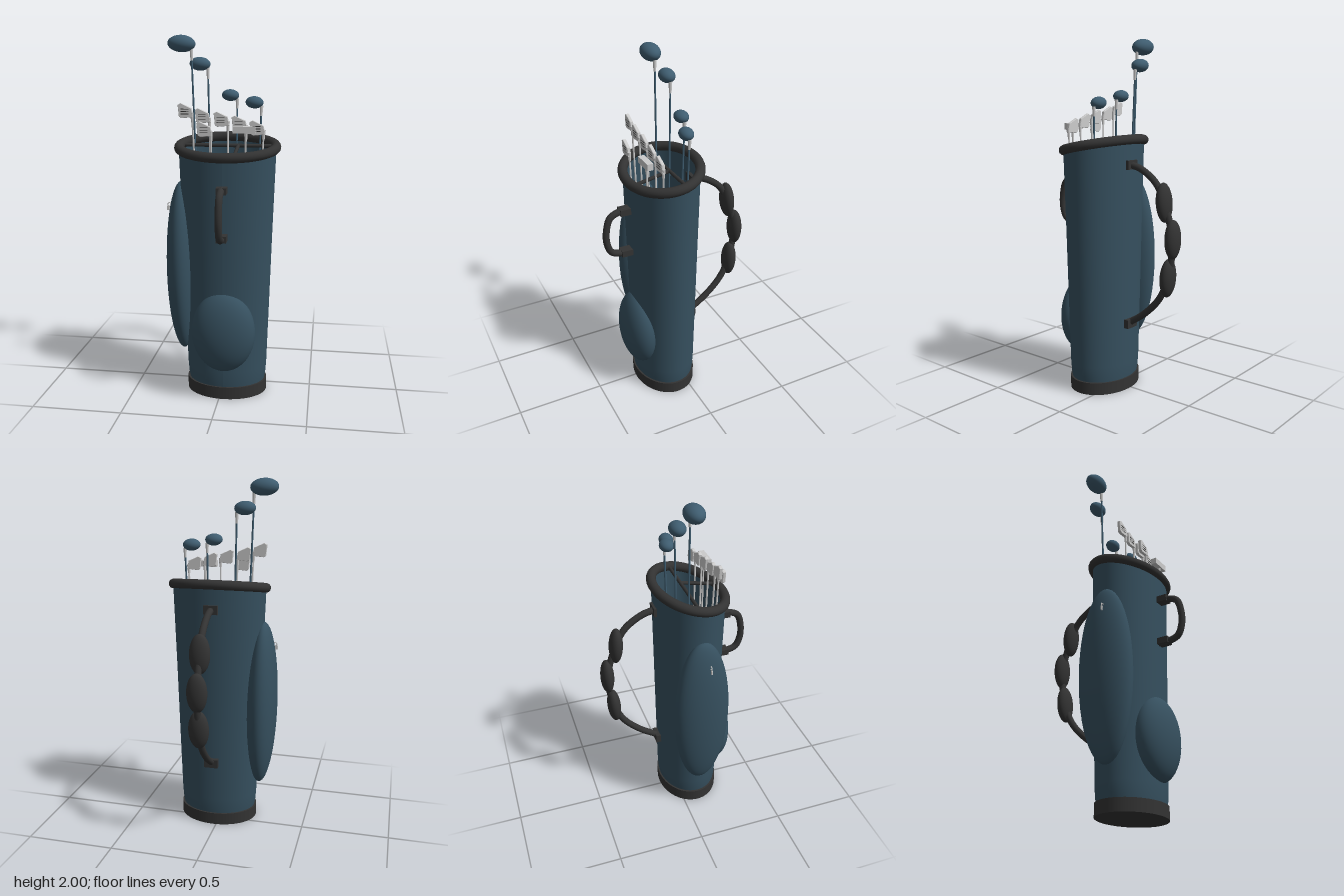
import * as THREE from 'three';

const CX = 0.023, CZ = 0.083;
const mat = (color, side = THREE.FrontSide) => new THREE.MeshStandardMaterial({ color, side });
const V = (x, y, z) => new THREE.Vector3(x, y, z);

export function createModel() {
  const group = new THREE.Group();
  const blue = mat(0x36505f), blueWall = mat(0x36505f, THREE.DoubleSide);
  const headBlue = mat(0x3f5d70), dark = mat(0x333333), grey = mat(0xcccccc);

  const add = (name, geo, material, pos = [0, 0, 0], parent = group) => {
    const m = new THREE.Mesh(geo, material);
    m.name = name;
    m.position.set(...pos);
    parent.add(m);
    return m;
  };
  const ellipsoid = (name, material, pos, radii, parent) => {
    const m = add(name, new THREE.SphereGeometry(1, 40, 24), material, pos, parent);
    m.scale.set(...radii);
    return m;
  };
  // Straight round rod between two points
  const rod = (name, a, b, rA, rB, material, parent) => {
    const d = b.clone().sub(a);
    const m = add(name, new THREE.CylinderGeometry(rB, rA, d.length(), 12), material,
      a.clone().add(b).multiplyScalar(0.5).toArray(), parent);
    m.quaternion.setFromUnitVectors(V(0, 1, 0), d.normalize());
    return m;
  };
  const tube = (name, pts, r) => add(name,
    new THREE.TubeGeometry(new THREE.CatmullRomCurve3(pts.map(([y, z]) => V(CX, y, z))), 64, r, 14), dark);
  const rimY = z => 1.405 - 0.2 * (z - CZ);

  // Base cup
  const base = add('base', new THREE.CylinderGeometry(1, 1, 0.07, 64), dark, [CX, 0.035, CZ]);
  base.scale.set(0.228, 1, 0.178);

  // Tapered oval body with a slanted open top: [y, half width, half depth]
  const rings = [[0.06, 0.215, 0.168], [0.1, 0.222, 0.173], [0.16, 0.227, 0.176],
    [0.5, 0.238, 0.181], [0.95, 0.252, 0.187], [1.405, 0.268, 0.194]];
  const bodyGeo = new THREE.CylinderGeometry(1, 1, 1, 64, rings.length - 1, true);
  const p = bodyGeo.attributes.position;
  for (let i = 0; i < p.count; i++) {
    const [y, w, d] = rings[Math.round((p.getY(i) + 0.5) * (rings.length - 1))];
    const z = p.getZ(i) * d;
    p.setXYZ(i, CX + p.getX(i) * w, y - 0.2 * z * Math.pow(y / 1.405, 2), CZ + z);
  }
  bodyGeo.computeVertexNormals();
  add('body', bodyGeo, blueWall);

  // Padded rim and dividers, following the slant
  const rimPts = [];
  for (let i = 0; i < 32; i++) {
    const a = i / 32 * Math.PI * 2, z = CZ + 0.192 * Math.cos(a);
    rimPts.push(V(CX + 0.266 * Math.sin(a), rimY(z), z));
  }
  add('rim', new THREE.TubeGeometry(new THREE.CatmullRomCurve3(rimPts, true), 96, 0.027, 14, true), dark);
  rod('crossDivider', V(CX - 0.26, rimY(0.06), 0.06), V(CX + 0.26, rimY(0.06), 0.06), 0.01, 0.01, dark);
  rod('shortDivider', V(0.08, rimY(0.06), 0.06), V(0.08, rimY(0.26), 0.26), 0.01, 0.01, dark);

  // Bulging pockets
  ellipsoid('frontPocket', blue, [CX, 0.395, 0.24], [0.177, 0.23, 0.104]);
  ellipsoid('sidePocket', blue, [-0.23, 0.72, CZ], [0.09, 0.49, 0.16]).rotation.z = 0.012;

  // Zip pull on the side pocket
  const pull = add('zipRing', new THREE.TorusGeometry(0.01, 0.003, 8, 16), grey, [-0.299, 1.08, 0.105]);
  add('zipTab', new THREE.BoxGeometry(0.014, 0.024, 0.006), grey, [-0.008, -0.02, 0], pull);

  // Front carry handle
  tube('handle', [[1.2, 0.27], [1.2, 0.33], [1.175, 0.385], [1.1, 0.41], [1.02, 0.41],
    [0.96, 0.385], [0.94, 0.33], [0.94, 0.26]], 0.019);
  for (const y of [1.2, 0.942]) add('handleMount', new THREE.BoxGeometry(0.055, 0.036, 0.065), dark, [CX, y, 0.3]);

  // Shoulder strap with three pads
  tube('strap', [[1.305, -0.1], [1.285, -0.18], [1.215, -0.28], [1.115, -0.335], [0.92, -0.39],
    [0.705, -0.365], [0.58, -0.31], [0.48, -0.215], [0.4, -0.1]], 0.019);
  for (const y of [1.305, 0.4]) add('strapMount', new THREE.BoxGeometry(0.08, 0.05, 0.035), dark, [CX, y, -0.105]);
  for (const [y, z, tilt] of [[1.115, -0.335, 0.08], [0.92, -0.394, 0], [0.705, -0.365, -0.06]]) {
    ellipsoid('strapPad', dark, [CX, y, z], [0.057, 0.108, 0.038]).rotation.x = tilt;
  }

  // Shaft with a grip at the foot and a ferrule at the neck
  const shaft = (club, foot, neck, material) => {
    const at = t => foot.clone().lerp(neck, t);
    rod('grip', foot, at(0.2), 0.015, 0.012, dark, club);
    rod('shaft', at(0.18), neck, 0.006, 0.005, material, club);
    rod('ferrule', at(0.965), neck, 0.007, 0.01, grey, club);
  };
  const newClub = name => {
    const club = new THREE.Group();
    club.name = name;
    group.add(club);
    return club;
  };

  // Woods: head centre, head radii, foot x and z
  const woods = [
    [[-0.24, 1.954, 0.014], [0.077, 0.046, 0.052], -0.12, 0.035],
    [[-0.147, 1.846, -0.037], [0.058, 0.037, 0.043], -0.06, 0.01],
    [[0.023, 1.677, -0.037], [0.048, 0.032, 0.039], 0.05, 0.005],
    [[0.161, 1.641, 0.005], [0.049, 0.033, 0.038], 0.155, 0.035]];
  for (const [c, r, fx, fz] of woods) {
    const club = newClub('wood');
    ellipsoid('woodHead', headBlue, c, r, club).rotation.z = -0.05;
    shaft(club, V(fx, 0.08, fz), V(c[0] + r[0] * 0.55 + 0.012, c[1] - r[1] * 0.55, c[2]), headBlue);
  }

  // Irons: blade with bevelled edges and grooves; head x, y, z, foot x, z
  const outline = new THREE.Shape([[0.04, -0.032], [0.03, 0.012], [-0.026, 0.038], [-0.04, 0.03],
    [-0.034, -0.03], [-0.022, -0.038]].map(q => new THREE.Vector2(...q)));
  const bladeGeo = new THREE.ExtrudeGeometry(outline,
    { depth: 0.012, bevelThickness: 0.003, bevelSize: 0.002, bevelSegments: 1 }).translate(0, 0, -0.006);
  const grooveGeo = new THREE.BoxGeometry(0.042, 0.003, 0.002);
  const irons = [[-0.19, 1.603, 0.166, -0.095, 0.135], [-0.097, 1.577, 0.166, -0.035, 0.135],
    [0.004, 1.56, 0.166, 0.03, 0.135], [0.1, 1.54, 0.166, 0.1, 0.135],
    [0.195, 1.516, 0.166, 0.155, 0.135], [-0.077, 1.512, 0.235, -0.03, 0.19]];
  for (const [x, y, z, fx, fz] of irons) {
    const club = newClub('iron');
    const blade = add('ironHead', bladeGeo, grey, [x, y, z], club);
    for (const gy of [-0.017, -0.004, 0.009]) add('groove', grooveGeo, dark, [-0.004, gy, 0.0095], blade);
    shaft(club, V(fx, 0.08, fz), V(x + 0.034, y - 0.01, z), grey);
  }

  // Putter
  const putter = newClub('putter');
  add('putterHead', new THREE.BoxGeometry(0.116, 0.036, 0.034), grey, [0.13, 1.51, 0.218], putter);
  shaft(putter, V(0.115, 0.08, 0.19), V(0.14, 1.5, 0.218), grey);

  return group;
}
